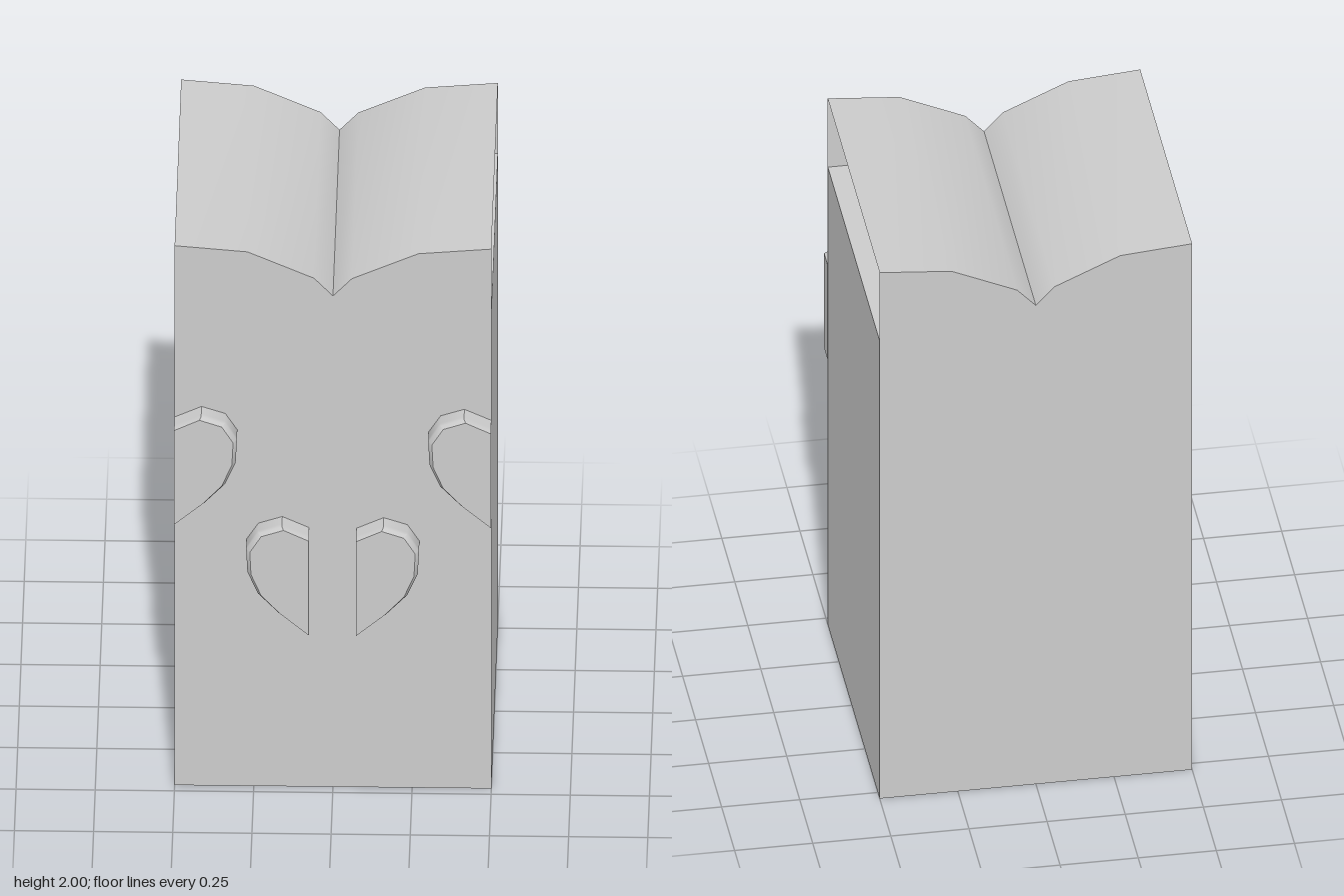
import * as THREE from 'three';
import { toCreasedNormals } from 'three/addons/utils/BufferGeometryUtils.js';

const BACK = -0.535, FRONT = 0.465, DEPTH = FRONT - BACK;
const SIDE_TOP = 1.74;

// One half of the notched top, from the valley out to the side
const LOBE = [[0, 1.82], [0.06, 1.885], [0.27, 1.98], [0.5, 2]];

// Half-drop outline: straight edge on x = 0, rounded side towards +x
const PETAL = [[0, 0], [0.095, 0.08], [0.16, 0.15], [0.194, 0.23], [0.198, 0.315],
  [0.16, 0.375], [0.085, 0.4], [0, 0.36]];

const toShape = (pts) => new THREE.Shape(pts.map(([x, y]) => new THREE.Vector2(x, y)));

// Open surface running from back to front along an xy profile
function strip(profile) {
  const pos = [], index = [];
  profile.forEach(([x, y], i) => {
    pos.push(x, y, BACK, x, y, FRONT);
    const a = i * 2;
    if (i < profile.length - 1) index.push(a, a + 1, a + 2, a + 1, a + 3, a + 2);
  });
  const g = new THREE.BufferGeometry();
  g.setAttribute('position', new THREE.Float32BufferAttribute(pos, 3));
  g.setIndex(index);
  g.computeVertexNormals();
  return g;
}

// Raised half-drop with a slightly tapered front rim
function petalGeometry() {
  const g = new THREE.ExtrudeGeometry(toShape(PETAL), { depth: 0.075, steps: 5, bevelEnabled: false });
  const p = g.attributes.position;
  for (let i = 0; i < p.count; i++) {
    if (p.getZ(i) > 0.07) {
      p.setX(i, p.getX(i) * 0.94);
      p.setY(i, 0.22 + (p.getY(i) - 0.22) * 0.97);
    }
  }
  return toCreasedNormals(g, 0.7);
}

export function createModel() {
  const group = new THREE.Group();
  const shell = new THREE.MeshStandardMaterial({ color: 0xcccccc, side: THREE.DoubleSide });
  const solid = new THREE.MeshStandardMaterial({ color: 0xcccccc });

  const add = (name, geometry, material = shell) => {
    const mesh = new THREE.Mesh(geometry, material);
    mesh.name = name;
    group.add(mesh);
    return mesh;
  };

  // Front and back walls share the notched outline
  const left = LOBE.map(([x, y]) => [-x, y]);
  const wall = new THREE.ShapeGeometry(toShape(
    [[-0.5, 0], [0.5, 0], ...[...LOBE].reverse(), ...left.slice(1)]));
  add('frontWall', wall).position.z = FRONT;
  const back = add('backWall', wall);
  back.rotation.y = Math.PI;
  back.position.z = BACK;

  // Inner block: its sides stop short of the top, leaving an open slot
  add('innerBlock', new THREE.BoxGeometry(1, SIDE_TOP, DEPTH - 0.004), solid)
    .position.set(0, SIDE_TOP / 2, (FRONT + BACK) / 2);

  // Curved top halves and the small rib under the valley
  add('rightTop', strip([...left].reverse()));
  add('leftTop', strip(LOBE));
  add('valleyRib', strip([[-0.08, SIDE_TOP], [0, 1.82]]));

  // Mirrored pairs of petals on the front
  const petal = petalGeometry();
  for (const s of [1, -1]) {
    const inner = add('innerPetal', petal, solid);
    inner.position.set(s * 0.075, 0.6, FRONT);
    inner.scale.x = s;
    const outer = add('outerPetal', petal, solid);
    outer.position.set(s * 0.5, 1.005, FRONT);
    outer.scale.x = -s;
  }
  return group;
}
